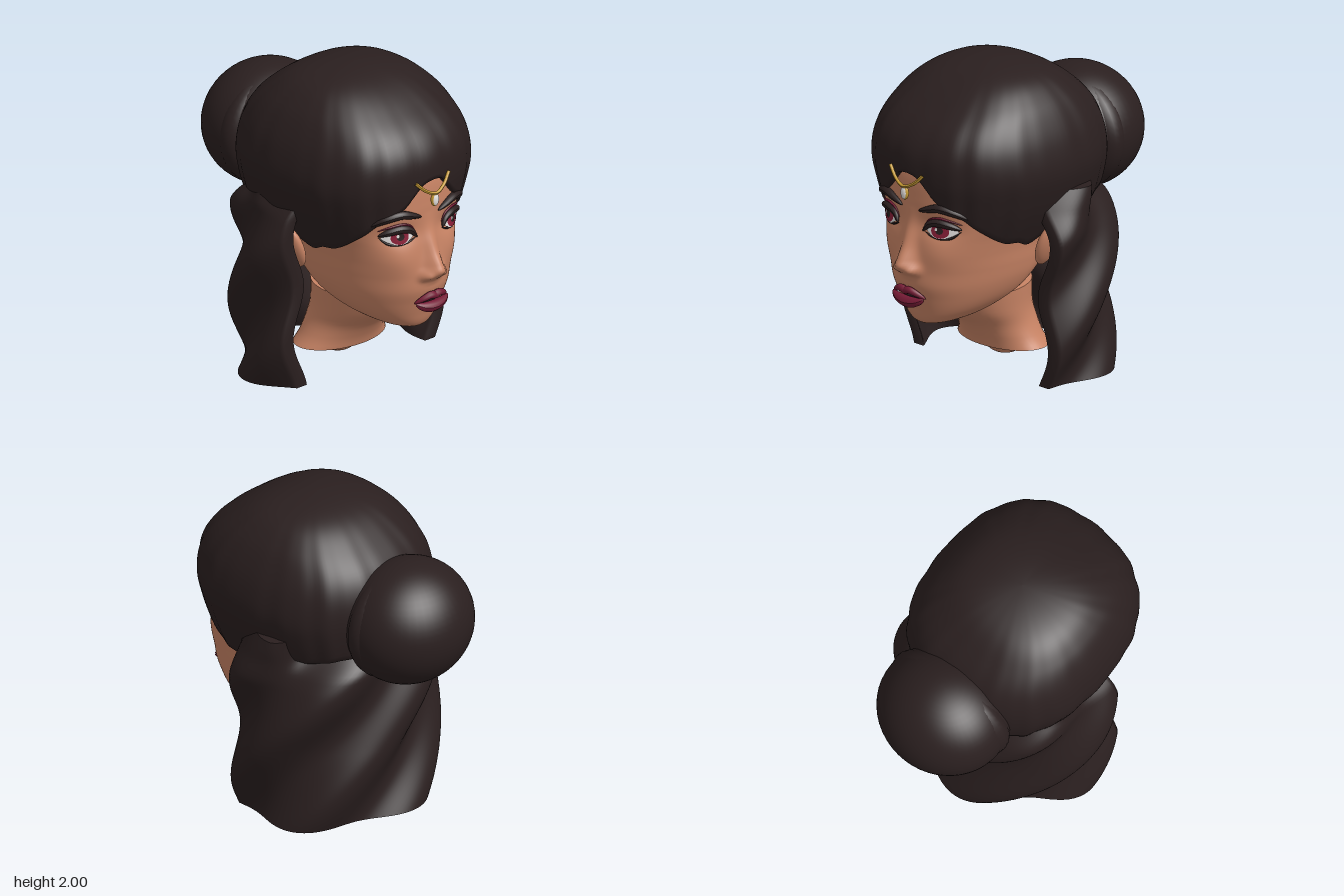
import * as THREE from 'three';

const paint = (name, color) => Object.assign(new THREE.MeshStandardMaterial({ color }), { name });
const { smoothstep, degToRad, lerp } = THREE.MathUtils;

// Smooth interpolation through rows of [t, a, b, ...]
function spline(rows) {
  const last = rows.length - 1;
  return (t) => {
    let i = 0;
    while (i < last - 1 && t > rows[i + 1][0]) i++;
    const a = rows[i], b = rows[i + 1], h = b[0] - a[0];
    const u = Math.min(1, Math.max(0, (t - a[0]) / h));
    const slope = (j, k) => {
      const p = rows[Math.max(0, j - 1)], n = rows[Math.min(last, j + 1)];
      return ((n[k] - p[k]) / (n[0] - p[0])) * h;
    };
    return a.slice(1).map((_, c) => {
      const k = c + 1, u2 = u * u, u3 = u2 * u;
      return a[k] * (2 * u3 - 3 * u2 + 1) + b[k] * (3 * u2 - 2 * u3) +
        slope(i, k) * (u3 - 2 * u2 + u) + slope(i + 1, k) * (u3 - u2);
    });
  };
}

// Skin over closed rings of points, listed from bottom to top
function loft(rings) {
  const n = rings[0].length, index = [];
  for (let i = 0; i < rings.length - 1; i++) {
    for (let j = 0; j < n; j++) {
      const a = i * n + j, b = i * n + ((j + 1) % n);
      index.push(a, b, b + n, a, b + n, a + n);
    }
  }
  const g = new THREE.BufferGeometry();
  g.setAttribute('position', new THREE.Float32BufferAttribute(rings.flat(2), 3));
  g.setIndex(index);
  g.computeVertexNormals();
  return g;
}

const centre = (ring) => {
  const c = [0, 1, 2].map((k) => ring.reduce((s, p) => s + p[k], 0) / ring.length);
  return ring.map(() => c);
};
const capped = (r) => [centre(r[0]), r[0], ...r, r.at(-1), centre(r.at(-1))];
const gauss = (x, y, cx, cy, sx, sy) => Math.exp(-(((x - cx) / sx) ** 2) - ((y - cy) / sy) ** 2);
const power = (v, e) => Math.sign(v) * Math.abs(v) ** e;

// Head sections: y, half width, front z, centre z, back z
const headAt = spline([
  [0.41, 0.07, 0.76, 0.65, 0.5], [0.425, 0.135, 0.785, 0.6, 0.42], [0.46, 0.205, 0.807, 0.52, 0.35],
  [0.52, 0.28, 0.828, 0.43, 0.25], [0.6, 0.345, 0.855, 0.33, 0.12], [0.7, 0.392, 0.888, 0.26, 0],
  [0.8, 0.415, 0.888, 0.23, -0.1], [0.9, 0.428, 0.88, 0.22, -0.2], [1, 0.45, 0.868, 0.2, -0.25],
  [1.1, 0.48, 0.855, 0.2, -0.3], [1.25, 0.505, 0.855, 0.2, -0.35], [1.4, 0.51, 0.845, 0.2, -0.35],
  [1.55, 0.46, 0.8, 0.2, -0.3]]);
// Nose: y, height, half width
const noseAt = spline([[0.72, 0, 0.06], [0.755, 0.016, 0.065], [0.785, 0.055, 0.07], [0.83, 0.097, 0.068],
  [0.87, 0.085, 0.06], [0.95, 0.05, 0.05], [1.05, 0.022, 0.048], [1.12, 0.008, 0.05], [1.2, 0, 0.05]]);
// Sections are rounder at the jaw and flatter in front at the eyes
const squareness = (y) => lerp(2.2, 2.7, smoothstep(y, 0.7, 1.05));

function faceZ(x, y) {
  const [rx, zf, cz] = headAt(y), [nose, w] = noseAt(y), ax = Math.abs(x), p = squareness(y);
  const bump = nose * Math.exp(-(Math.abs(x / w) ** 2.4)) + 0.035 * gauss(ax, y, 0.072, 0.8, 0.03, 0.03) -
    0.03 * gauss(ax, y, 0.215, 1.085, 0.11, 0.07) + 0.012 * gauss(ax, y, 0.24, 0.9, 0.1, 0.09);
  return cz + (zf - cz) * Math.max(0, 1 - (ax / rx) ** p) ** (1 / p) + bump;
}

function headGeometry() {
  const rings = [], n = 130;
  for (let i = 0; i <= 110; i++) {
    const y = lerp(0.41, 1.55, i / 110), [rx, , cz, zb] = headAt(y), e = 2 / squareness(y), ring = [];
    for (let j = 0; j < n; j++) {
      const a = Math.PI * power((2 * j) / n - 1, 1.4), c = Math.cos(a);
      const x = rx * power(Math.sin(a), e);
      ring.push([x, y, c >= 0 ? faceZ(x, y) : cz + (cz - zb) * power(c, e)]);
    }
    rings.push(ring);
  }
  return loft(capped(rings));
}

function neckGeometry() {
  const at = spline([[0.14, 0.335, 0.27, -0.16], [0.2, 0.295, 0.295, -0.14], [0.3, 0.258, 0.36, -0.12],
    [0.4, 0.255, 0.465, -0.1], [0.55, 0.27, 0.57, -0.1]]);
  const rings = [];
  for (let i = 0; i <= 16; i++) {
    const y = lerp(0.14, 0.55, i / 16), [rx, zf, zb] = at(y);
    rings.push(Array.from({ length: 48 }, (_, j) => {
      const a = (j / 48) * Math.PI * 2;
      return [rx * Math.sin(a), y, (zf + zb) / 2 + ((zf - zb) / 2) * Math.cos(a)];
    }));
  }
  return loft(capped(rings));
}

// Hair cap: rows keyed by sqrt of the drop from the crown; hairline height by angle from the front
function hairCapGeometry() {
  const at = spline([[0, 0, 0.17, 0.17], [0.224, 0.325, 0.44, -0.13], [0.412, 0.49, 0.655, -0.32],
    [0.548, 0.575, 0.81, -0.45], [0.66, 0.625, 0.885, -0.51], [0.775, 0.645, 0.895, -0.53],
    [0.87, 0.61, 0.87, -0.53], [0.95, 0.557, 0.84, -0.51], [1.04, 0.475, 0.8, -0.48]]);
  const hairline = spline([[0, 1.43], [4, 1.415], [9, 1.35], [15, 1.275], [22, 1.225], [30, 1.185], [38, 1.13],
    [50, 1.05], [62, 0.98], [72, 0.965], [80, 0.93], [90, 1.0], [105, 1.12], [120, 1.12], [140, 1.16], [180, 1.2]]);
  const rings = [], n = 144, m = 44;
  for (let i = 0; i <= m + 1; i++) {
    const v = Math.min(1, i / m), ring = [];
    for (let j = 0; j < n; j++) {
      const deg = (j / n) * 360 - 180, a = degToRad(deg);
      const q = v * Math.sqrt(2 - hairline(Math.abs(deg))[0]);
      const [rx, zf, zb] = at(q), c = Math.cos(a);
      const groove = 1 + v * (0.006 * Math.cos(16 * a) + 0.004 * Math.cos(27 * a)) -
        0.015 * Math.exp(-((deg / 6) ** 2)) * (1 - v);
      const k = i > m ? 0.95 : groove;
      ring.push([k * rx * power(Math.sin(a), 0.83), 2 - q * q,
        0.17 + k * (c > 0 ? zf - 0.17 : 0.17 - zb) * power(c, 0.83)]);
    }
    rings.push(ring);
  }
  return loft(rings.reverse());
}

// Long hair: a thick U-shaped curtain with steep spiralling waves and straight front edges
function longHairGeometry() {
  const base = spline([[0, 0.668, 0.595], [0.5, 0.692, 0.565], [0.9, 0.7, 0.58], [1.27, 0.645, 0.5]]);
  const n = 84, rings = [];
  const point = (deg, y, inset) => {
    const [rx, rz] = base(y), a = degToRad(deg), s = Math.sin(a), c = Math.cos(a);
    const wave = 0.055 * Math.cos(((2 * Math.PI) / 0.72) * (y - 0.45 - (0.9 * (deg - 90)) / 90));
    const behind = 1 - smoothstep(Math.abs(deg - 180), 60, 82);
    const tuck = 1 - 0.15 * behind * smoothstep(y, 1.03, 1.25);
    const pull = s > 0 ? 0.035 * s * smoothstep(y, 0.95, 1.15) : -0.06 * s * smoothstep(y, 1.12, 1.27);
    const depth = c > 0 ? 0.565 : (rz + wave - inset) * tuck;
    return [(rx + wave - inset - pull) * tuck * s, y, 0.05 + depth * c];
  };
  for (let i = 0; i <= 56; i++) {
    const y = (1.27 * i) / 56, outer = [], inner = [];
    for (let j = 0; j <= n; j++) {
      const deg = lerp(67, 293, j / n);
      outer.push(point(deg, y, 0));
      inner.unshift(point(deg, y, 0.09));
    }
    rings.push([...outer, ...inner]);
  }
  const seam = (r) => r.map((p, i) => p.map((v, k) => (v + r[r.length - 1 - i][k]) / 2));
  const lo = rings[0], hi = rings.at(-1);
  return loft([seam(lo), lo, ...rings, hi, seam(hi)]);
}

// Tube whose thickness follows a rule along its length
function taperTube(points, radius, taper) {
  const path = new THREE.CatmullRomCurve3(points.map((p) => new THREE.Vector3(...p)));
  const g = new THREE.TubeGeometry(path, 32, radius, 10), pos = g.attributes.position, v = new THREE.Vector3();
  for (let i = 0; i < pos.count; i++) {
    const t = Math.floor(i / 11) / 32, c = path.getPointAt(t);
    v.fromBufferAttribute(pos, i).sub(c).multiplyScalar(taper(t)).add(c);
    pos.setXYZ(i, v.x, v.y, v.z);
  }
  g.computeVertexNormals();
  return g;
}
const bothEnds = (t) => 0.08 + 0.92 * Math.sin(Math.PI * t) ** 0.6;
const onFace = (pts, off, s = 1) => pts.map(([x, y]) => [s * x, y, faceZ(x, y) + off]);

// Thin oval plate following a surface
function patch(cx, cy, rx, ry, zAt, pinch = 0) {
  const g = new THREE.RingGeometry(0, 1, 32, 6), p = g.attributes.position;
  for (let i = 0; i < p.count; i++) {
    const u = p.getX(i), x = cx + u * rx, y = cy + p.getY(i) * ry * (1 - pinch * u * u);
    p.setXYZ(i, x, y, zAt(x, y));
  }
  g.computeVertexNormals();
  return g;
}

export function createModel() {
  const skin = paint('skin', 0xc98465), hair = paint('dark hair', 0x2a1f1f), lip = paint('lip red', 0x751b35);
  const irisRed = paint('iris red', 0x8a1f38), white = paint('white', 0xe6e2e0), gold = paint('gold', 0xc69a34);
  const model = new THREE.Group();
  const add = (name, geometry, material, parent = model) => {
    const mesh = new THREE.Mesh(geometry, material);
    mesh.name = name;
    parent.add(mesh);
    return mesh;
  };
  const face = new THREE.Group();
  face.name = 'face';
  face.position.x = -0.012;
  model.add(face);

  add('head', headGeometry(), skin, face);
  add('neck', neckGeometry(), skin, face);
  add('neckBall', new THREE.SphereGeometry(0.16, 32, 20), skin, face).position.set(0, 0.19, 0.04);

  // Eyes, brows and ears, mirrored
  for (const s of [1, -1]) {
    const side = s > 0 ? 'left' : 'right', cx = s * 0.22, cy = 1.082;
    const eyeZ = (off) => (x, y) => faceZ(x, y) + off +
      0.028 * Math.max(0, 1 - ((x - cx) / 0.11) ** 2 - ((y - cy) / 0.075) ** 2);
    add(side + 'EyeWhite', patch(cx, cy, 0.1, 0.05, eyeZ(0.006), 0.5), white, face);
    add(side + 'Iris', patch(cx, cy, 0.056, 0.046, eyeZ(0.01)), irisRed, face);
    add(side + 'Pupil', patch(cx, cy + 0.004, 0.024, 0.024, eyeZ(0.014)), hair, face);
    add(side + 'EyeGlint', patch(cx - 0.018, cy + 0.012, 0.009, 0.011, eyeZ(0.018)), white, face);
    const lash = [[0.108, 1.065], [0.145, 1.112], [0.205, 1.132], [0.28, 1.122], [0.34, 1.1]];
    add(side + 'UpperLash', taperTube(onFace(lash, 0.022, s), 0.026, bothEnds), hair, face);
    add(side + 'EyeShadow', taperTube(onFace(lash.map(([x, y]) => [x, y + 0.03]), 0.01, s), 0.008, bothEnds), lip, face);
    const lower = [[0.11, 1.06], [0.16, 1.038], [0.22, 1.03], [0.28, 1.04], [0.33, 1.085]];
    add(side + 'LowerLash', taperTube(onFace(lower, 0.008, s), 0.009, bothEnds), hair, face);
    const brow = [[0.07, 1.188], [0.14, 1.212], [0.22, 1.232], [0.31, 1.212], [0.385, 1.158]];
    add(side + 'Brow', taperTube(onFace(brow, 0.012, s), 0.028, bothEnds), hair, face);
    const ear = add(side + 'Ear', new THREE.SphereGeometry(1, 24, 18), skin, face);
    ear.scale.set(0.045, 0.15, 0.08);
    ear.position.set(s * 0.5, 0.9, 0.18);
    ear.rotation.z = -s * 0.35;
  }

  // Mouth
  add('mouthGap', patch(0, 0.63, 0.11, 0.03, (x, y) => faceZ(x, y) + 0.005), hair, face);
  add('teeth', patch(0, 0.634, 0.075, 0.014, (x, y) => faceZ(x, y) + 0.012), white, face);
  const upper = [[-0.132, 0.622], [-0.08, 0.653], [-0.03, 0.668], [0, 0.66], [0.03, 0.668], [0.08, 0.653], [0.132, 0.622]];
  const under = [[-0.132, 0.622], [-0.08, 0.597], [0, 0.585], [0.08, 0.597], [0.132, 0.622]];
  add('upperLip', taperTube(onFace(upper, 0.03), 0.025, bothEnds), lip, face);
  add('lowerLip', taperTube(onFace(under, 0.048), 0.036, bothEnds), lip, face);

  // Hair
  add('hairCap', hairCapGeometry(), hair).position.x = -0.01;
  add('longHair', longHairGeometry(), hair).position.x = -0.005;
  const bun = add('bun', new THREE.SphereGeometry(1, 48, 32), hair);
  bun.scale.set(0.43, 0.397, 0.395);
  bun.position.set(-0.008, 1.363, -0.585);
  const roll = add('bunRoll', new THREE.TorusGeometry(0.345, 0.095, 18, 56), hair);
  roll.scale.y = 0.88;
  roll.position.set(-0.008, 1.36, -0.52);

  // Forehead jewel
  add('browChain', taperTube([[-0.16, 1.44, 0.89], [-0.09, 1.375, 0.912], [-0.015, 1.345, 0.925],
    [0.06, 1.375, 0.912], [0.125, 1.44, 0.89]], 0.011, () => 1), gold);
  const pendant = add('pendant', new THREE.SphereGeometry(1, 24, 16), gold);
  pendant.scale.set(0.028, 0.046, 0.02);
  pendant.position.set(-0.015, 1.3, 0.91);
  add('pendantStone', patch(-0.015, 1.3, 0.023, 0.039, (x, y) =>
    0.914 + 0.02 * Math.sqrt(Math.max(0, 1 - ((x + 0.015) / 0.028) ** 2 - ((y - 1.3) / 0.046) ** 2))), white);
  return model;
}
